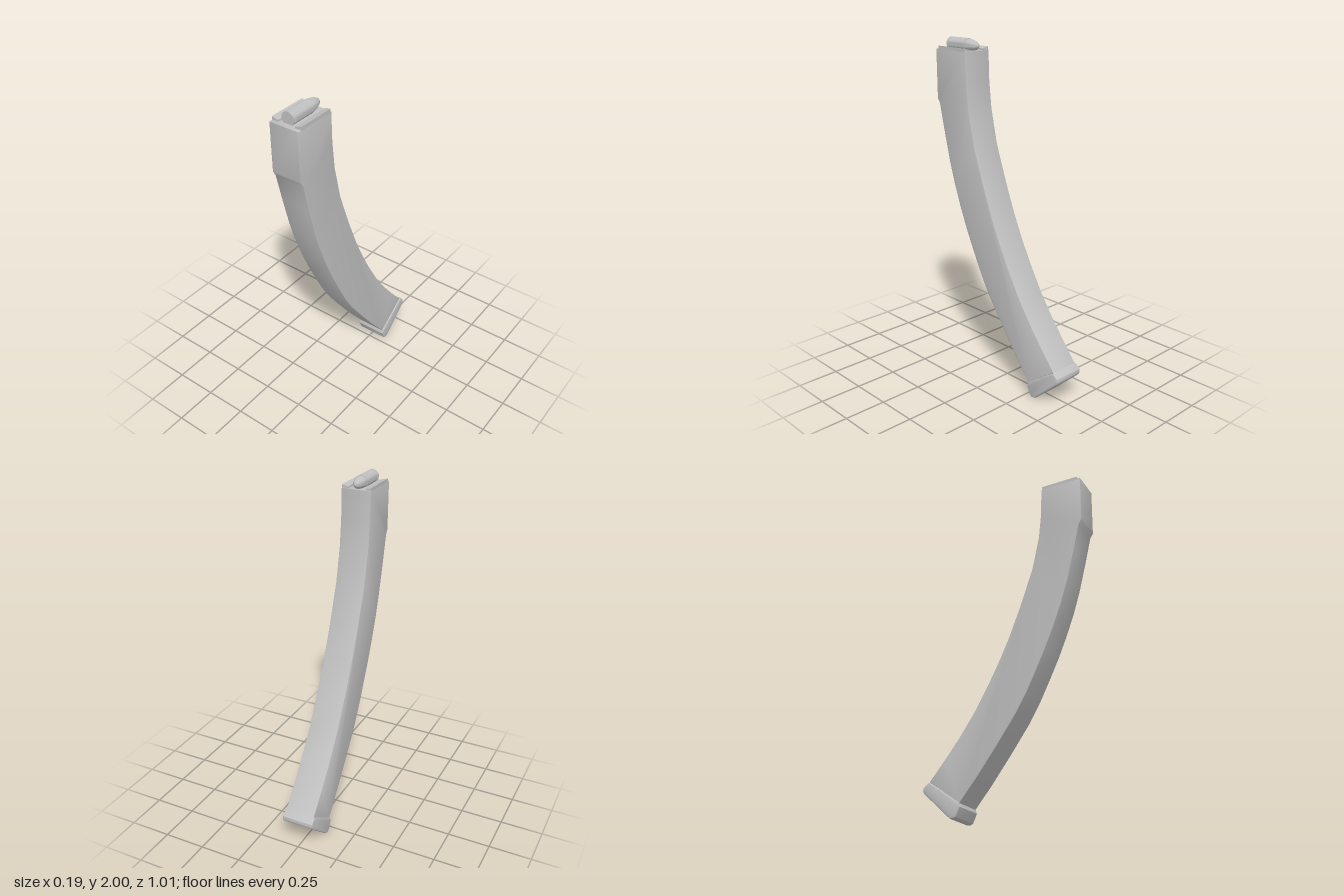
import * as THREE from 'three';
import { toCreasedNormals } from 'three/addons/utils/BufferGeometryUtils.js';

const steel = new THREE.MeshStandardMaterial({ color: 0xc0c0c0 });
steel.name = 'grey steel';

function part(name, geometry, crease = 0.6) {
  const mesh = new THREE.Mesh(toCreasedNormals(geometry, crease), steel);
  mesh.name = name;
  return mesh;
}

// Extrudes a side outline of [z, y] points across x, with small rounded edges.
function sideSlab(outline, width, bevel) {
  const shape = new THREE.Shape(outline.map(([z, y]) => new THREE.Vector2(z, y)));
  const geometry = new THREE.ExtrudeGeometry(shape, {
    depth: width - 2 * bevel,
    bevelEnabled: true,
    bevelSize: bevel,
    bevelThickness: bevel,
    bevelOffset: -bevel,
    bevelSegments: 2,
  });
  geometry.translate(0, 0, -(width - 2 * bevel) / 2);
  return geometry.rotateY(-Math.PI / 2);
}

export function createModel() {
  const group = new THREE.Group();
  group.name = 'curvedMagazine';

  // Curved body: front edge downwards, then rear edge upwards
  const frontEdge = [
    [0.503, 1.935], [0.5, 1.65], [0.482, 1.62], [0.445, 1.46], [0.4, 1.28], [0.36, 1.15],
    [0.31, 1.015], [0.255, 0.885], [0.2, 0.77], [0.135, 0.64], [0.07, 0.53],
    [-0.04, 0.375], [-0.16, 0.215], [-0.27, 0.08],
  ];
  const rearEdge = [
    [-0.465, 0.22], [-0.37, 0.335], [-0.28, 0.45], [-0.19, 0.58], [-0.1, 0.735], [-0.03, 0.87],
    [0.03, 1.0], [0.1, 1.175], [0.18, 1.4], [0.225, 1.6], [0.242, 1.76], [0.247, 1.935],
  ];
  group.add(part('body', sideSlab([...frontEdge, ...rearEdge], 0.18, 0.006)));

  // Floor plate wrapped around the lower end
  const plate = [
    [-0.27, 0.085], [-0.262, 0.06], [-0.285, 0.008], [-0.3, 0], [-0.325, 0.003],
    [-0.498, 0.16], [-0.503, 0.175], [-0.5, 0.192], [-0.465, 0.22],
  ];
  group.add(part('floorPlate', sideSlab(plate, 0.195, 0.01)));

  // Feed lips on both sides of the opening
  for (const side of [1, -1]) {
    const profile = [[0.089, 1.93], [0.089, 1.953], [0.052, 1.943], [0.052, 1.93]];
    const lip = new THREE.Shape(profile.map(([x, y]) => new THREE.Vector2(side * x, y)));
    const geometry = new THREE.ExtrudeGeometry(lip, { depth: 0.225, bevelEnabled: false });
    geometry.translate(0, 0, 0.255);
    group.add(part(side > 0 ? 'leftFeedLip' : 'rightFeedLip', geometry));
  }

  // Top cartridge, turned around its long axis: [radius, distance from base]
  const turned = (name, points) => {
    const profile = points.map(([r, d]) => new THREE.Vector2(r, d));
    const mesh = part(name, new THREE.LatheGeometry(profile, 28));
    mesh.rotation.x = -Math.PI / 2;
    mesh.position.set(0, 1.962, 0.47);
    group.add(mesh);
  };
  turned('cartridgeCase', [
    [0, 0], [0.038, 0], [0.038, 0.008], [0.033, 0.01], [0.033, 0.016], [0.038, 0.02],
    [0.038, 0.152], [0.035, 0.152],
  ]);
  turned('bullet', [
    [0.035, 0.15], [0.0345, 0.17], [0.031, 0.19], [0.025, 0.21], [0.017, 0.225],
    [0.008, 0.234], [0, 0.237],
  ]);

  return group;
}
